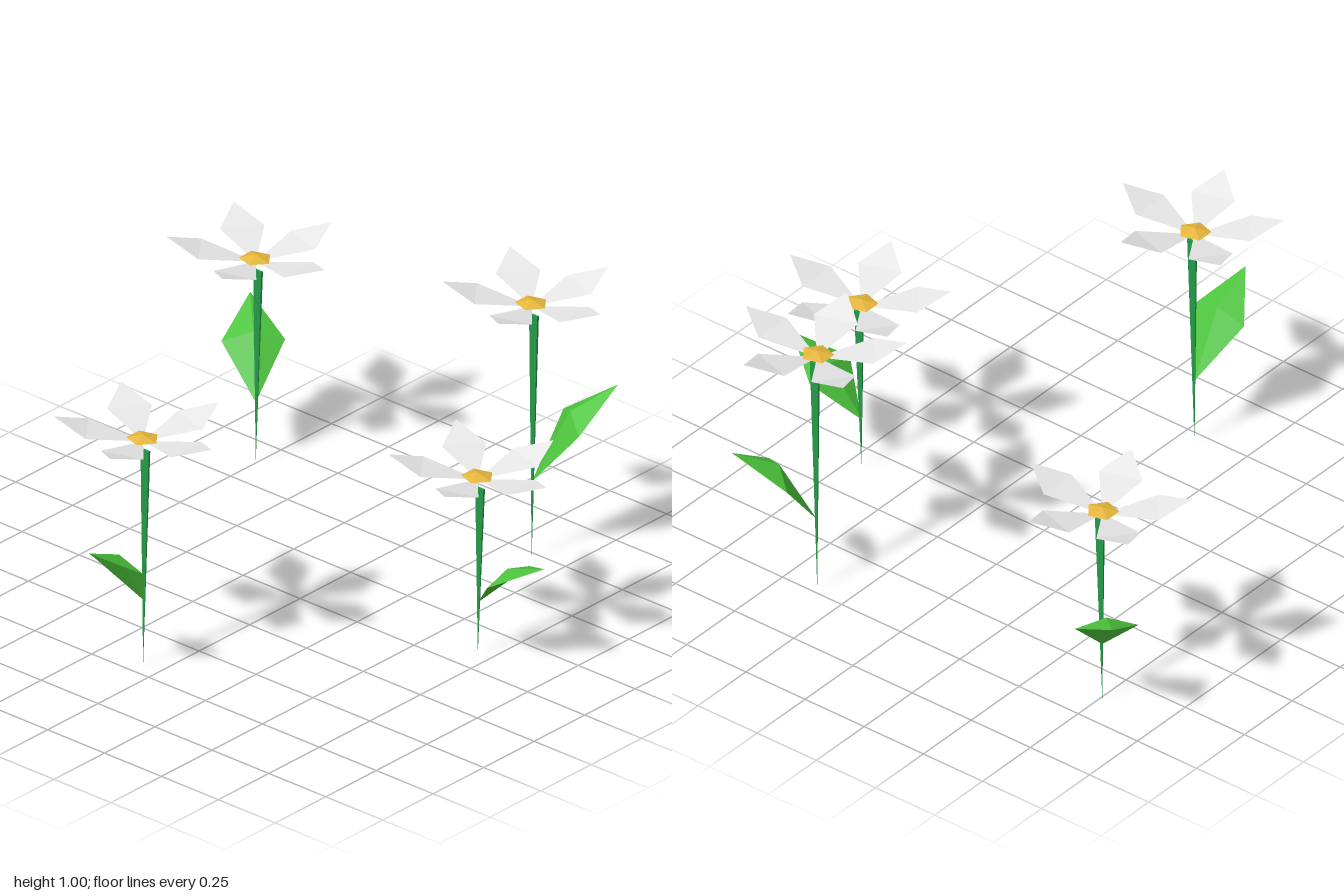
import * as THREE from 'three';

const material = (name, color) => {
  const m = new THREE.MeshStandardMaterial({ color, side: THREE.DoubleSide });
  m.name = name;
  return m;
};

// Flat-shaded facets from a few corner points and triangles
function facets(points, triangles) {
  const g = new THREE.BufferGeometry();
  g.setAttribute('position', new THREE.Float32BufferAttribute(triangles.flat().flatMap(i => points[i]), 3));
  g.computeVertexNormals();
  return g;
}

// Petal along +x from the head's middle: two triangles folded upward across the widest line
const petalGeometry = () => facets(
  [[0, -0.008, 0], [0.187, 0.027, 0.077], [0.187, 0.027, -0.077], [0.299, 0.065, 0]],
  [[0, 1, 2], [1, 3, 2]]);

// Leaf along +x: creased along its midrib, bending over toward the tip
const leafGeometry = h => facets(
  [[0, 0.305 * h, 0], [0.134, 0.53 * h, 0.105], [0.13, 0.578 * h, 0], [0.134, 0.53 * h, -0.105], [0.293, 0.665 * h, 0]],
  [[0, 1, 2], [0, 2, 3], [1, 4, 2], [2, 4, 3]]);

// Stem: a thin blade tapering to a point at the ground
const stemGeometry = h => facets(
  [[0, 0, 0], [-0.008, h, 0.004], [0.028, h, 0.004], [0.028, h, -0.004], [-0.008, h, -0.004]],
  [[0, 2, 1], [0, 3, 2], [0, 4, 3], [0, 1, 4], [1, 2, 3], [1, 3, 4]]);

// Flower centre: a low five-sided cone
function centreGeometry() {
  const g = new THREE.ConeGeometry(0.057, 0.014, 5, 1, true).rotateY(Math.PI / 2).translate(0, 0.011, 0).toNonIndexed();
  g.computeVertexNormals();
  return g;
}

export function createModel() {
  const root = new THREE.Group();
  root.name = 'flowers';
  const white = material('petal white', 0xe8e8e8);
  const yellow = material('centre yellow', 0xe6b63c);
  const leafGreen = material('leaf green', 0x4cc43c);
  const stemGreen = material('stem green', 0x259a48);

  const add = (parent, name, geometry, mat) => {
    const mesh = new THREE.Mesh(geometry, mat);
    mesh.name = name;
    parent.add(mesh);
    return mesh;
  };

  // x, z, flower height, leaf direction
  const flowers = [
    [-0.757, -0.633, 0.717, 2.36],
    [-0.065, 0.704, 0.81, -1.5],
    [0.37, -0.729, 0.903, 0.97],
    [0.697, -0.094, 0.622, 0],
  ];

  for (const [x, z, height, leafTurn] of flowers) {
    const flower = new THREE.Group();
    flower.name = 'flower';
    flower.position.set(x, 0, z);
    root.add(flower);

    add(flower, 'stem', stemGeometry(height - 0.005), stemGreen);
    add(flower, 'leaf', leafGeometry(height), leafGreen).rotation.y = leafTurn;

    // Slightly oval head floating just above the stem
    const head = new THREE.Group();
    head.name = 'head';
    head.position.y = height + 0.031;
    head.scale.set(1.01, 1, 0.95);
    flower.add(head);
    add(head, 'centre', centreGeometry(), yellow);
    for (let i = 0; i < 5; i++) {
      add(head, 'petal', petalGeometry(), white).rotation.y = i * Math.PI * 2 / 5;
    }
  }
  return root;
}
